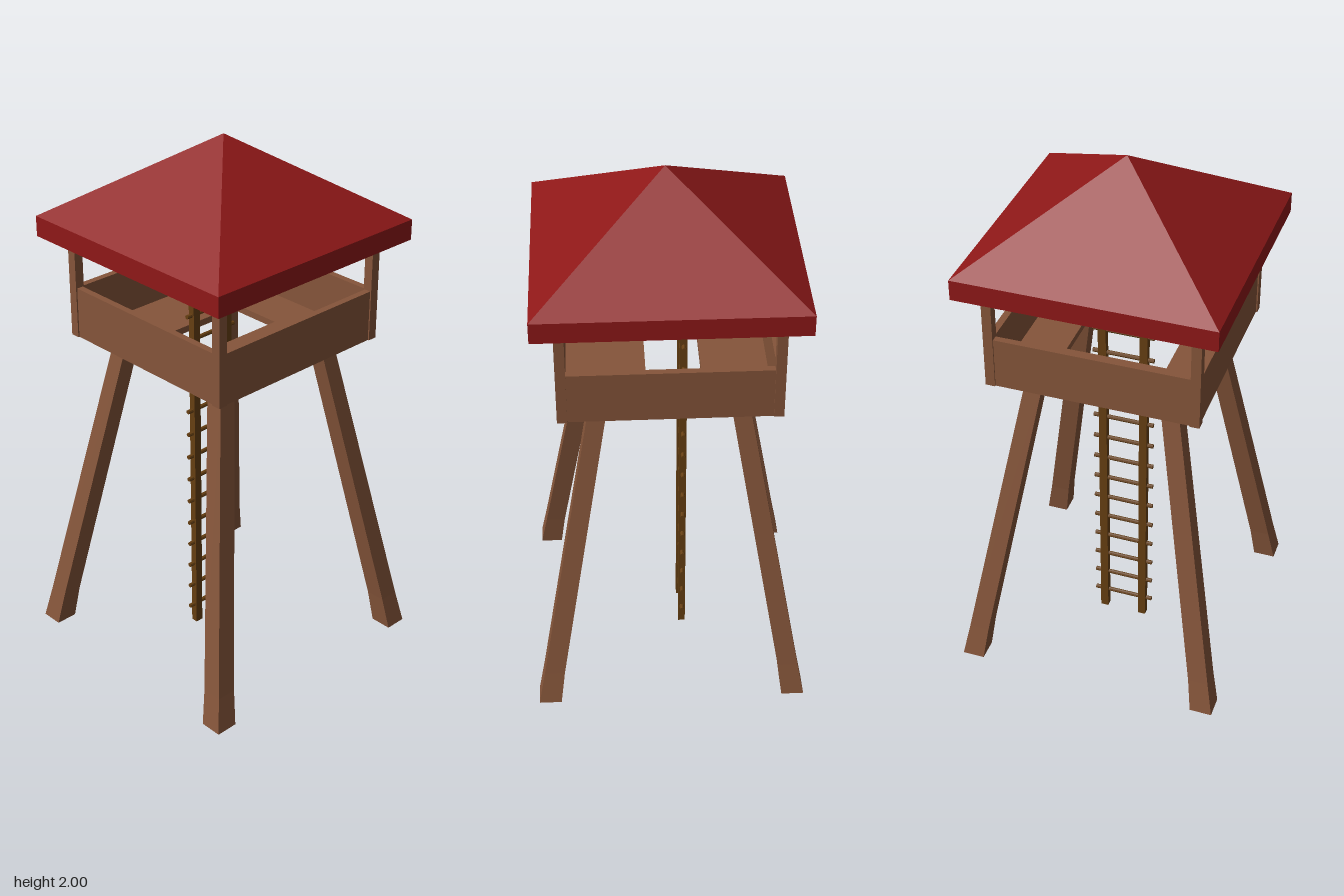
import * as THREE from 'three';

const mat = (color) => new THREE.MeshStandardMaterial({ color, flatShading: true });

export function createModel() {
  const model = new THREE.Group();
  const wood = mat(0x85553a);
  const ladderWood = mat(0x663f12);
  const red = mat(0x8f1818);

  const add = (name, geometry, material, parent = model) => {
    const mesh = new THREE.Mesh(geometry, material);
    mesh.name = name;
    parent.add(mesh);
    return mesh;
  };
  // Box given by its min and max corners
  const box = (name, x0, x1, y0, y1, z0, z1, material, parent) =>
    add(name, new THREE.BoxGeometry(x1 - x0, y1 - y0, z1 - z0), material, parent)
      .position.set((x0 + x1) / 2, (y0 + y1) / 2, (z0 + z1) / 2);

  // Roof: pyramid on a square slab
  const roof = new THREE.Group();
  roof.name = 'roof';
  model.add(roof);
  box('roofRim', -0.46, 0.46, 1.62, 1.695, -0.46, 0.46, red, roof);
  const pyramid = new THREE.ConeGeometry(0.46 * Math.SQRT2, 0.305, 4, 1, true);
  pyramid.rotateY(Math.PI / 4);
  add('roofPyramid', pyramid, red, roof).position.y = 1.8475;

  // Cabin: floor with hatch, four walls, corner posts
  const cabin = new THREE.Group();
  cabin.name = 'cabin';
  model.add(cabin);
  const floorShape = new THREE.Shape();
  floorShape.moveTo(-0.37, -0.37).lineTo(0.37, -0.37).lineTo(0.37, 0.37).lineTo(-0.37, 0.37).closePath();
  const hatch = new THREE.Path();
  hatch.moveTo(-0.12, -0.185).lineTo(-0.12, 0.185).lineTo(0.075, 0.185).lineTo(0.075, -0.185).closePath();
  floorShape.holes.push(hatch);
  const floor = new THREE.ExtrudeGeometry(floorShape, { depth: 0.025, bevelEnabled: false });
  floor.rotateX(-Math.PI / 2);
  add('floor', floor, wood, cabin).position.y = 1.235;
  for (const s of [-1, 1]) {
    const a = Math.min(s * 0.355, s * 0.38), b = Math.max(s * 0.355, s * 0.38);
    box('sideWall', a, b, 1.24, 1.43, -0.38, 0.38, wood, cabin);
    box('frontBackWall', -0.355, 0.355, 1.24, 1.43, a, b, wood, cabin);
    for (const t of [-1, 1]) {
      const post = add('cornerPost', new THREE.BoxGeometry(0.035, 0.385, 0.035), wood, cabin);
      post.position.set(s * 0.3675, 1.4325, t * 0.3675);
    }
  }

  // Legs: splayed square beams, slightly flared at the foot
  const sections = [ // height, inner edge, outer edge
    [0, 0.417, 0.5], [0.13, 0.4, 0.475], [1.24, 0.21, 0.275],
  ];
  for (const sx of [-1, 1]) for (const sz of [-1, 1]) {
    const g = new THREE.BoxGeometry(2, 2, 2, 1, 2, 1);
    const p = g.attributes.position;
    for (let i = 0; i < p.count; i++) {
      const [y, inner, outer] = sections[Math.round(p.getY(i)) + 1];
      const edge = (v, s) => s * (v * s > 0 ? outer : inner);
      p.setXYZ(i, edge(p.getX(i), sx), y, edge(p.getZ(i), sz));
    }
    g.computeVertexNormals();
    add('leg', g, wood);
  }

  // Ladder: two rails and evenly spaced rungs
  const ladder = new THREE.Group();
  ladder.name = 'ladder';
  model.add(ladder);
  for (const z of [0.085, -0.07])
    box('ladderRail', -0.074, -0.048, 0, 1.41, z - 0.015, z + 0.015, ladderWood, ladder);
  for (let i = 0; i < 14; i++) {
    const rung = new THREE.CylinderGeometry(0.008, 0.008, 0.23, 8);
    rung.rotateX(Math.PI / 2);
    add('ladderRung', rung, ladderWood, ladder).position.set(-0.061, 0.08 + i * 0.0963, 0.007);
  }

  return model;
}
